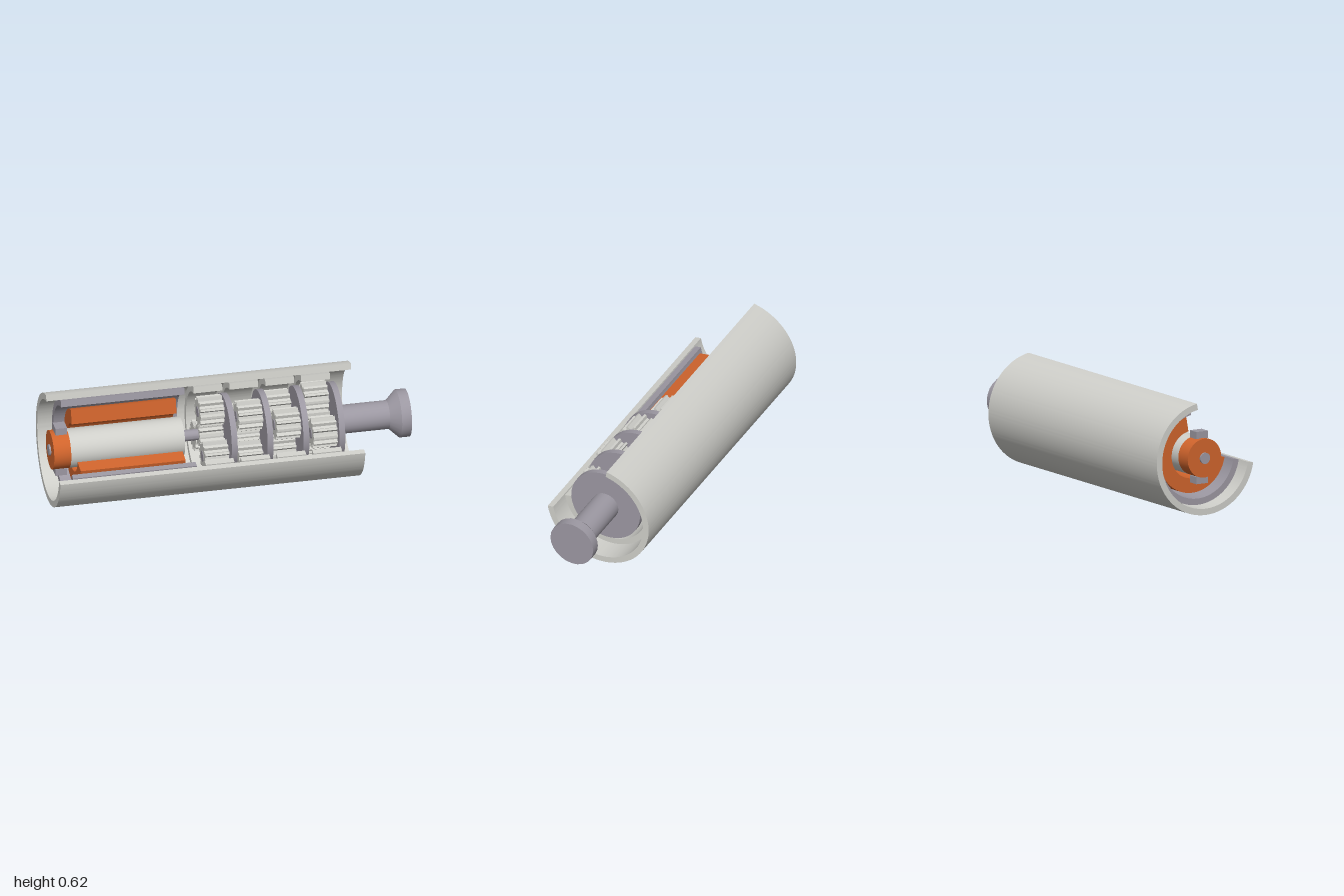
import * as THREE from 'three';
import { toCreasedNormals } from 'three/addons/utils/BufferGeometryUtils.js';

const CY = 0.315; // height of the main axis, which runs along x
const DEG = Math.PI / 180;

const mat = (name, color) => {
  const m = new THREE.MeshStandardMaterial({ color });
  m.name = name;
  return m;
};

export function createModel() {
  const light = mat('lightMetal', 0xcfcfca);
  const steel = mat('darkSteel', 0x9c98a2);
  const copper = mat('copper', 0xd0642c);

  const root = new THREE.Group();
  root.name = 'cutawayGearMotor';
  const axis = new THREE.Group();
  axis.name = 'axis';
  axis.position.y = CY;
  root.add(axis);

  const add = (name, geo, material, parent = axis) => {
    const mesh = new THREE.Mesh(geo, material);
    mesh.name = name;
    parent.add(mesh);
    return mesh;
  };

  // Extrudes a cross-section along +x from x0 to x1 (shape x becomes -z)
  const alongX = (shape, x0, x1, crease) => {
    const g = new THREE.ExtrudeGeometry(shape, { depth: x1 - x0, bevelEnabled: false, curveSegments: 72 });
    g.rotateY(Math.PI / 2).translate(x0, 0, 0);
    return toCreasedNormals(g, crease);
  };

  // Tube wall with the front upper 110 degrees cut away
  const cutRing = (name, rIn, rOut, x0, x1, material) => {
    const s = new THREE.Shape();
    s.absarc(0, 0, rOut, -170 * DEG, 80 * DEG, false);
    s.absarc(0, 0, rIn, 80 * DEG, -170 * DEG, true);
    s.closePath();
    return add(name, alongX(s, x0, x1, 0.5), material);
  };

  // Turned part from [x, radius] pairs
  const turned = (name, profile, material, sides = 48, parent = axis) => {
    const pts = profile.map(([x, r]) => new THREE.Vector2(r, x));
    const g = new THREE.LatheGeometry(pts, sides).rotateZ(-Math.PI / 2);
    return add(name, toCreasedNormals(g, 0.5), material, parent);
  };
  const rod = (name, x0, x1, r, material, sides, parent) =>
    turned(name, [[x0, 0], [x0, r], [x1, r], [x1, 0]], material, sides, parent);

  // Spur gear with trapezoid teeth; the first tooth points at angle phase
  const gear = (name, teeth, rRoot, rTip, x0, x1, phase, parent) => {
    const pts = [];
    const step = (Math.PI * 2) / teeth;
    for (let i = 0; i < teeth; i++) {
      for (const [t, r] of [[-0.3, rRoot], [-0.14, rTip], [0.14, rTip], [0.3, rRoot]]) {
        const a = phase + (i + t) * step;
        pts.push(new THREE.Vector2(Math.cos(a) * r, Math.sin(a) * r));
      }
    }
    return add(name, alongX(new THREE.Shape(pts), x0, x1, 0.3), light, parent);
  };

  // Outer casing and motor can
  cutRing('outerCasing', 0.279, 0.314, -1, 0.7, light);
  cutRing('motorCan', 0.236, 0.271, -0.92, -0.23, steel);
  cutRing('statorWinding', 0.132, 0.213, -0.865, -0.28, copper);

  // Rotor, commutator and motor shaft
  rod('rotor', -0.895, -0.26, 0.108, light);
  rod('commutator', -0.99, -0.895, 0.108, copper);
  rod('motorShaft', -1, -0.16, 0.031, steel, 24);

  // Brushes above and below the commutator
  for (const side of [1, -1]) {
    const brush = add(side > 0 ? 'upperBrush' : 'lowerBrush', new THREE.BoxGeometry(0.065, 0.04, 0.075), steel);
    brush.position.set(-0.935, side * 0.125, 0);
  }

  // Four planetary stages
  const orbit = 0.14;
  [90, 118, 147, 175].forEach((deg, i) => {
    const stage = new THREE.Group();
    stage.name = `gearStage${i + 1}`;
    stage.position.x = -0.1 + i * 0.2;
    axis.add(stage);

    const ring = cutRing('ringGear', 0.236, 0.271, -0.08, 0.08, light);
    stage.add(ring);

    gear('sunGear', 12, 0.05, 0.066, -0.067, 0.067, (deg + 15) * DEG, stage);
    rod('carrierDisc', 0.077, 0.11, 0.212, steel, 64, stage);
    if (i < 3) rod('sunShaft', 0.1, 0.15, 0.04, steel, 24, stage);

    for (let k = 0; k < 3; k++) {
      const a = (deg + k * 120) * DEG;
      const planet = new THREE.Group();
      planet.name = 'planet';
      planet.position.set(0, Math.sin(a) * orbit, -Math.cos(a) * orbit);
      stage.add(planet);
      gear('planetGear', 12, 0.067, 0.085, -0.067, 0.067, a, planet);
      rod('planetPin', -0.07, 0.09, 0.03, steel, 20, planet);
    }
  });

  // Output shaft with flared head
  turned('outputShaft', [[0.6, 0], [0.6, 0.079], [0.89, 0.079], [0.945, 0.132], [1, 0.132], [1, 0]], steel, 24);

  return root;
}
